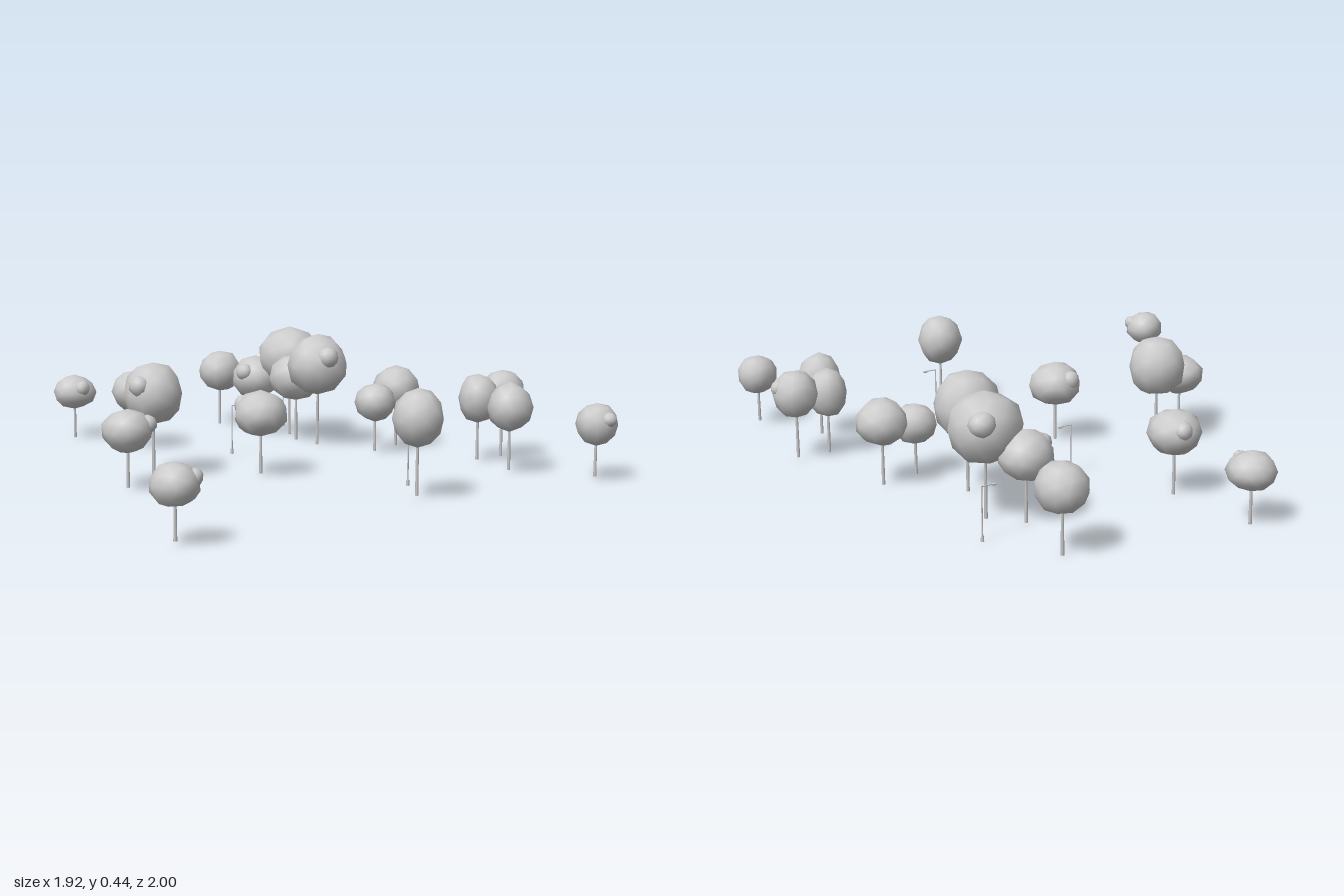
import * as THREE from 'three';
import { mergeVertices } from 'three/addons/utils/BufferGeometryUtils.js';

const mat = new THREE.MeshStandardMaterial({ color: 0xcccccc });

// x, z, crown centre height, crown radius, heading of the leaf clump if there is one
const trees = [
  [-0.2, -0.915, 0.185, 0.083, 0],
  [0.47, -0.865, 0.225, 0.09],
  [-0.13, -0.555, 0.225, 0.093, 3],
  [0.44, -0.56, 0.235, 0.095, -1.3],
  [0.54, -0.465, 0.32, 0.128, 2.6],
  [0.48, -0.34, 0.255, 0.105],
  [0.48, -0.2, 0.32, 0.116, -0.2],
  [0.565, 0.05, 0.195, 0.076],
  [0.71, 0, 0.235, 0.091],
  [-0.385, -0.02, 0.3, 0.105, -1.2],
  [-0.575, 0.12, 0.205, 0.09, 1],
  [-0.06, 0.175, 0.225, 0.095, -2.7],
  [0.75, 0.42, 0.24, 0.075],
  [0.87, 0.42, 0.25, 0.08, 1.4],
  [0.695, 0.645, 0.24, 0.082],
  [0.85, 0.915, 0.2, 0.076, 0],
  [0.125, 0.805, 0.275, 0.084],
  [-0.885, 0.9, 0.185, 0.076, 1],
];

// x, z, turn about y
const lamps = [[0.085, -0.215, 0.1], [0.214, 0.655, 0.1], [0.64, -0.645, Math.PI + 0.1]];

// The ground rises slightly towards the front
const groundAt = (z) => 0.0075 + 0.008 * z;

function add(group, name, geometry, x, y, z) {
  const mesh = new THREE.Mesh(geometry, mat);
  mesh.name = name;
  mesh.position.set(x, y, z);
  group.add(mesh);
  return mesh;
}

// Smooth, slightly uneven low-poly ball; the seed changes its lumps
function leafBall(radius, halfHeight, seed) {
  let g = new THREE.IcosahedronGeometry(1, 1);
  g.deleteAttribute('uv');
  g.deleteAttribute('normal');
  g = mergeVertices(g, 1e-4);
  const pos = g.attributes.position;
  const v = new THREE.Vector3();
  for (let i = 0; i < pos.count; i++) {
    v.fromBufferAttribute(pos, i);
    const wave = Math.sin(v.x * 4.1 + seed * 1.7) + Math.sin(v.y * 3.7 + seed * 2.3) + Math.sin(v.z * 4.3 + seed * 3.1);
    v.multiplyScalar(1 + 0.025 * wave);
    pos.setXYZ(i, v.x * radius, v.y * halfHeight, v.z * radius);
  }
  g.rotateY(seed * 0.9);
  g.computeVertexNormals();
  return g;
}

function makeTree([x, z, y, r, heading], i) {
  const tree = new THREE.Group();
  tree.name = 'tree';
  // Thin trunk reaching into the crown
  const len = y - groundAt(z);
  add(tree, 'trunk', new THREE.CylinderGeometry(0.004, 0.006, len, 6), x, y - len / 2, z);
  // Crown height grows with the tree
  const halfHeight = 0.37 * y;
  add(tree, 'crown', leafBall(r, halfHeight, i + 1), x, y, z);
  // Small clump poking out of the crown
  if (heading !== undefined) {
    const out = 0.75 * r;
    add(tree, 'leafClump', leafBall(0.36 * r, 0.36 * r, i + 2),
      x + out * Math.sin(heading), y + 0.3 * halfHeight, z + out * Math.cos(heading));
  }
  return tree;
}

function makeLamp([x, z, turn]) {
  const lamp = new THREE.Group();
  lamp.name = 'streetLamp';
  add(lamp, 'lampBase', new THREE.CylinderGeometry(0.005, 0.006, 0.02, 8), 0, 0.01, 0);
  add(lamp, 'lampPole', new THREE.CylinderGeometry(0.0022, 0.003, 0.186, 8), 0, 0.093, 0);
  // Arm reaching sideways with the head at its end
  const arm = add(lamp, 'lampArm', new THREE.CylinderGeometry(0.002, 0.002, 0.042, 6), 0.021, 0.185, 0);
  arm.rotation.z = Math.PI / 2;
  add(lamp, 'lampHead', new THREE.BoxGeometry(0.016, 0.006, 0.008), 0.046, 0.183, 0);
  lamp.position.set(x, groundAt(z), z);
  lamp.rotation.y = turn;
  return lamp;
}

export function createModel() {
  const model = new THREE.Group();
  model.name = 'parkTreesAndLamps';
  trees.forEach((t, i) => model.add(makeTree(t, i)));
  lamps.forEach((l) => model.add(makeLamp(l)));
  return model;
}
